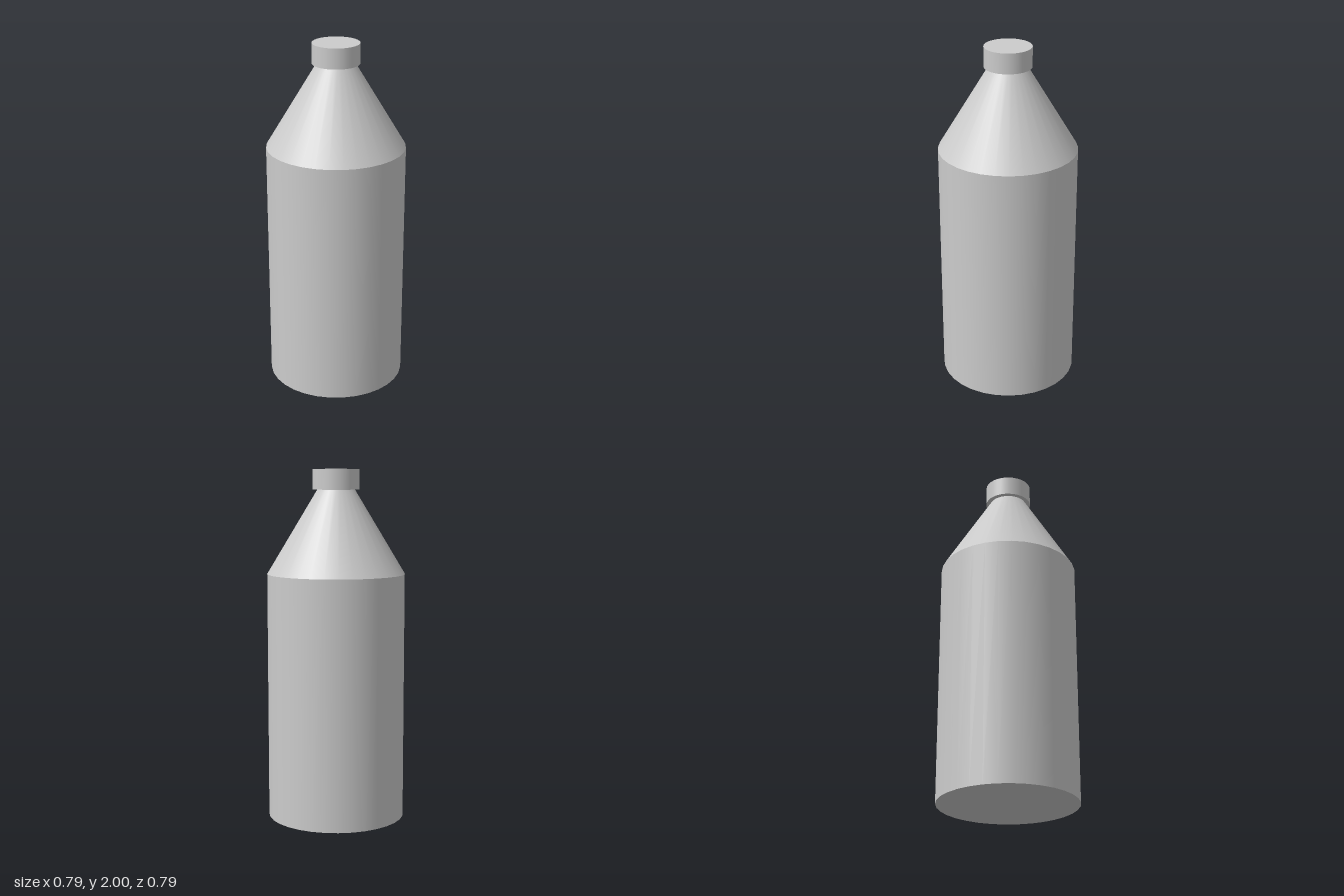
import * as THREE from 'three';

const SIDES = 32;

export function createModel() {
  const bottle = new THREE.Group();
  bottle.name = 'bottle';
  const material = new THREE.MeshStandardMaterial({ color: 0xcccccc });

  // Round section standing between two heights
  const addSection = (name, bottomRadius, topRadius, y0, y1) => {
    const geometry = new THREE.CylinderGeometry(topRadius, bottomRadius, y1 - y0, SIDES);
    const mesh = new THREE.Mesh(geometry, material);
    mesh.name = name;
    mesh.position.y = (y0 + y1) / 2;
    bottle.add(mesh);
  };

  addSection('body', 0.393, 0.393, 0, 1.41);
  addSection('shoulder', 0.393, 0.107, 1.41, 1.885);
  addSection('cap', 0.133, 0.133, 1.885, 2);

  return bottle;
}
